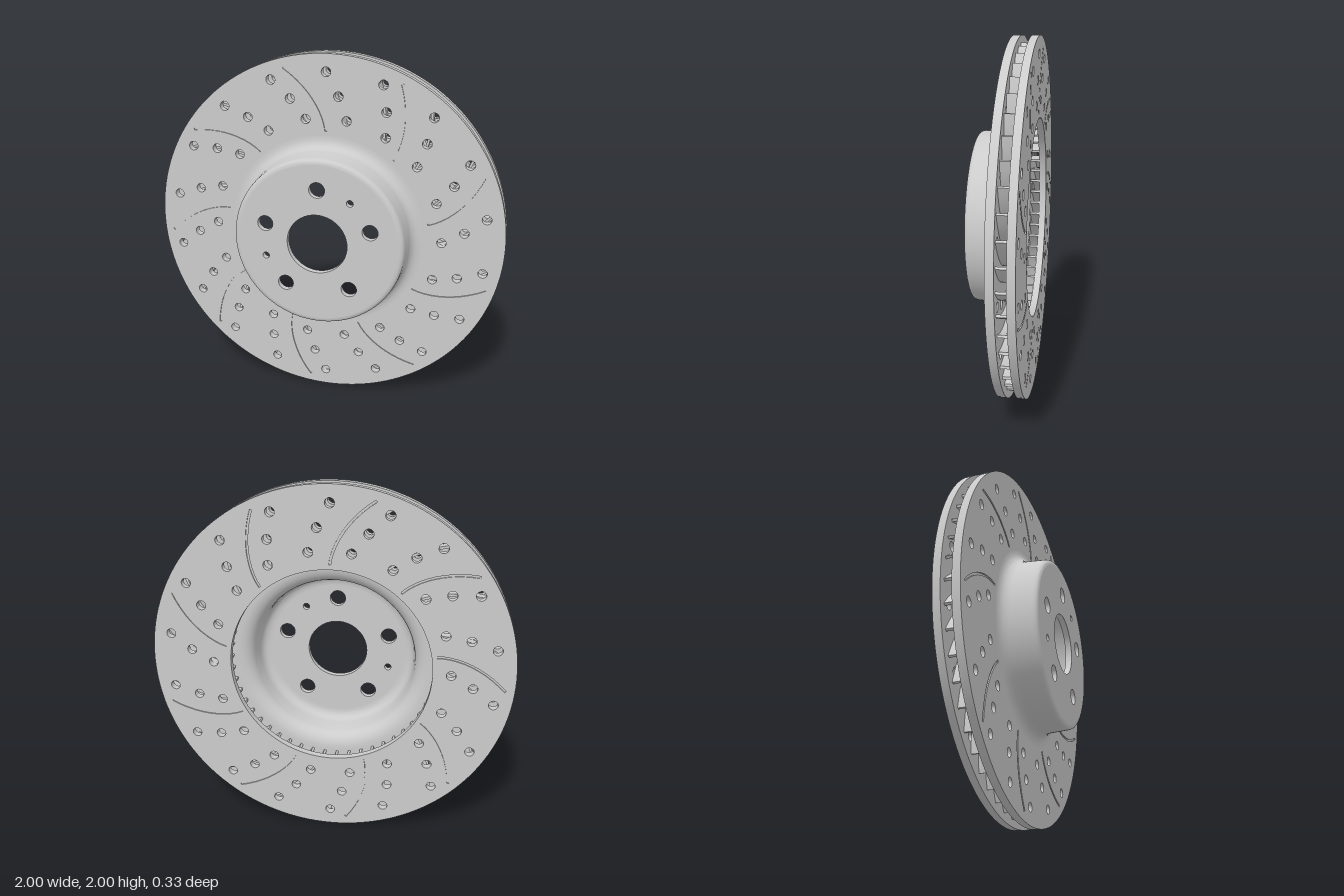
import * as THREE from 'three';
import { toCreasedNormals } from 'three/addons/utils/BufferGeometryUtils.js';

const DEG = Math.PI / 180;
const V = (x, y) => new THREE.Vector2(x, y);
// point at radius r, angle in degrees clockwise from the top
const polar = (r, deg) => V(r * Math.sin(deg * DEG), r * Math.cos(deg * DEG));

function circle(c, r, n) {
  const pts = [];
  for (let i = 0; i < n; i++) {
    const a = (i / n) * Math.PI * 2;
    pts.push(V(c.x + r * Math.cos(a), c.y + r * Math.sin(a)));
  }
  return pts;
}

// closed outline of a curved band whose angle follows angleAt(r)
function band(r0, r1, width, angleAt, offset = 0, n = 10) {
  const left = [], right = [];
  for (let i = 0; i <= n; i++) {
    const r = r0 + ((r1 - r0) * i) / n;
    const p = polar(r, angleAt(r) + offset);
    const t = polar(r + 0.001, angleAt(r + 0.001) + offset).sub(p).normalize();
    const side = V(-t.y, t.x).multiplyScalar(width / 2);
    left.push(p.clone().add(side));
    right.push(p.clone().sub(side));
  }
  return left.concat(right.reverse());
}

function extrude(outline, holes, z0, z1) {
  const shape = new THREE.Shape(outline);
  shape.holes = holes.map((pts) => new THREE.Path(pts));
  const geo = new THREE.ExtrudeGeometry(shape, { depth: z1 - z0, bevelEnabled: false });
  geo.translate(0, 0, z0);
  return toCreasedNormals(geo, 0.6);
}

export function createModel() {
  const material = new THREE.MeshStandardMaterial({ color: 0xcccccc });
  const model = new THREE.Group();
  model.name = 'brakeDisc';
  const disc = new THREE.Group();
  disc.name = 'disc';
  disc.position.y = 1;
  model.add(disc);
  const add = (name, geo, parent = disc) => {
    const mesh = new THREE.Mesh(geo, material);
    mesh.name = name;
    parent.add(mesh);
    return mesh;
  };

  // drilled holes in three staggered rows, and curved wiping grooves
  const drilled = [];
  for (let k = 0; k < 18; k++) {
    [[0.905, 0], [0.78, 5], [0.657, 10]].forEach(([r, a]) =>
      drilled.push(circle(polar(r, a + k * 20), 0.026, 18)));
  }
  const grooveAngle = (r) => -14.5 * Math.pow(Math.max(0, (r - 0.585) / 0.365), 1.4);
  const grooves = [];
  for (let k = 0; k < 9; k++) grooves.push(band(0.585, 0.95, 0.012, grooveAngle, k * 40));

  // friction plates: a drilled body with a thin grooved skin on its outer side
  const rim = circle(V(0, 0), 1, 144);
  const bore = circle(V(0, 0), 0.558, 96);
  const plateHoles = [bore, ...drilled];
  const skinHoles = [...plateHoles, ...grooves];
  add('frontPlate', extrude(rim, plateHoles, -0.07, -0.034));
  add('frontPlateSkin', extrude(rim, skinHoles, -0.034, -0.027));
  add('backPlate', extrude(rim, plateHoles, -0.16, -0.126));
  add('backPlateSkin', extrude(rim, skinHoles, -0.167, -0.16));

  // curved cooling vanes between the plates
  const vanes = new THREE.Group();
  vanes.name = 'coolingVanes';
  disc.add(vanes);
  const vaneAngle = (r) => -5.4 - 45.6 * (r - 0.78) - 32 * (r - 0.78) ** 2;
  const vaneGeo = extrude(band(0.565, 0.957, 0.014, vaneAngle), [], -0.126, -0.07);
  const vaneCount = 50;
  for (let i = 0; i < vaneCount; i++) {
    add('vane', vaneGeo, vanes).rotation.z = (i / vaneCount) * Math.PI * 2;
  }

  // hat shell: flared outer wall, then the inner wall back to the flange
  const bend = (a, b, c, n = 8) =>
    new THREE.QuadraticBezierCurve(V(...a), V(...b), V(...c)).getPoints(n);
  const lathe = (pts) =>
    toCreasedNormals(new THREE.LatheGeometry(pts, 96).rotateX(Math.PI / 2), 0.6);
  add('hatOuterWall', lathe([
    V(0.56, -0.07),
    ...bend([0.56, -0.027], [0.497, -0.027], [0.488, 0.03]),
    ...bend([0.481, 0.135], [0.479, 0.165], [0.45, 0.165]),
  ]));
  add('hatInnerWall', lathe([
    ...bend([0.39, 0.13], [0.445, 0.13], [0.449, 0.07]),
    ...bend([0.455, 0.01], [0.462, -0.06], [0.535, -0.07]),
    V(0.56, -0.07),
  ]));

  // mounting face: centre bore, five bolt holes and two small locating holes
  const faceHoles = [circle(V(0, 0), 0.17, 64)];
  for (let k = 0; k < 5; k++) faceHoles.push(circle(polar(0.31, k * 72), 0.044, 32));
  [36, 252].forEach((a) => faceHoles.push(circle(polar(0.31, a), 0.019, 20)));
  add('mountingFace', extrude(circle(V(0, 0), 0.45, 96), faceHoles, 0.13, 0.165));

  return model;
}
